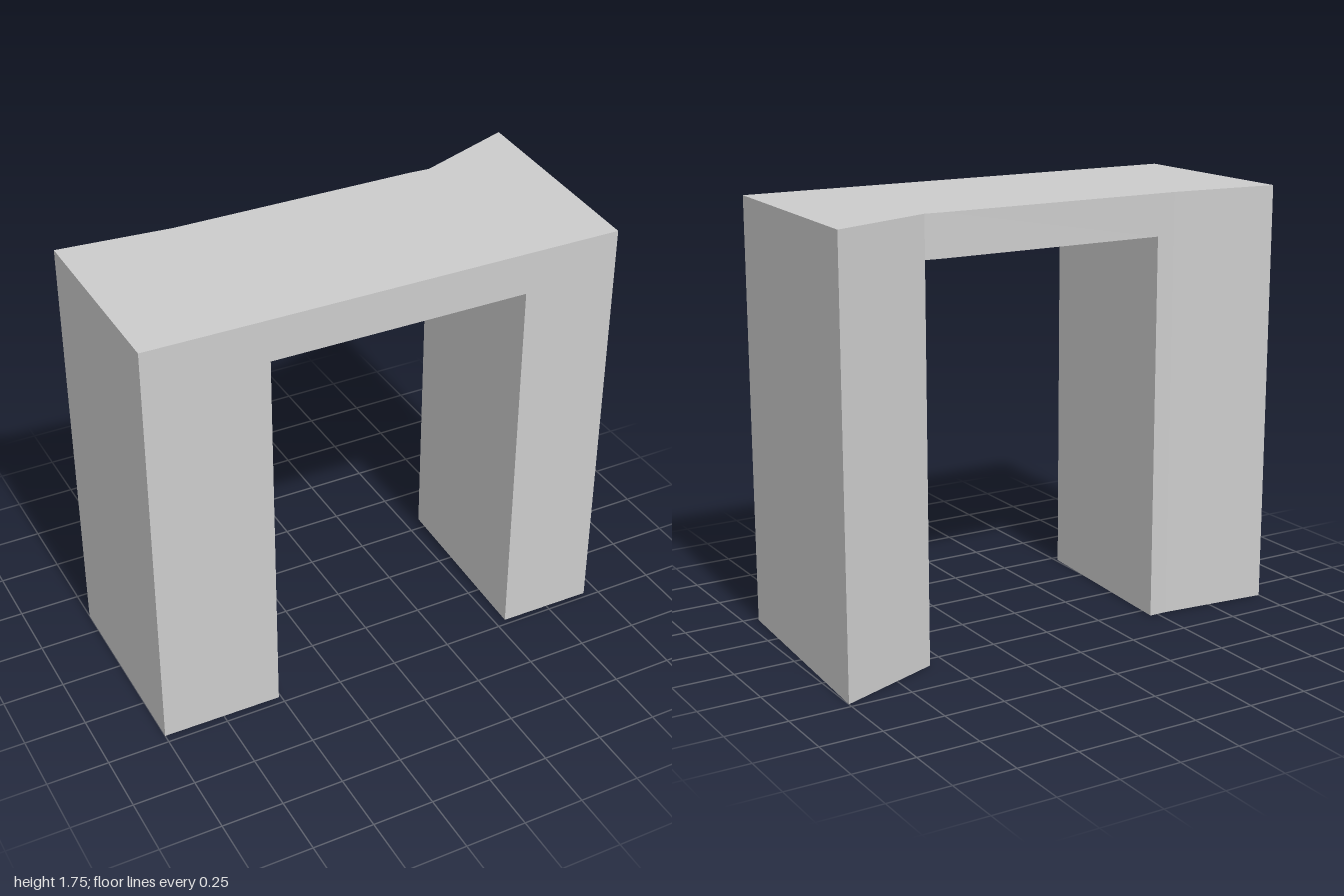
import * as THREE from 'three';

const HEIGHT = 1.75;
const OPENING = 1.58;

// Extrude a ground plan, given as [x, z] corners, from y0 up to y1.
function prism(name, plan, y0, y1, material) {
  const shape = new THREE.Shape(plan.map(([x, z]) => new THREE.Vector2(x, -z)));
  const geometry = new THREE.ExtrudeGeometry(shape, { depth: y1 - y0, bevelEnabled: false });
  geometry.rotateX(-Math.PI / 2);
  geometry.translate(0, y0, 0);
  const mesh = new THREE.Mesh(geometry, material);
  mesh.name = name;
  return mesh;
}

export function createModel() {
  const group = new THREE.Group();
  group.name = 'archway';
  const material = new THREE.MeshStandardMaterial({ color: 0xcccccc, flatShading: true });

  // Corners of the opening, shared by the legs and the lintel
  const rightFront = [-0.51, 0.468], rightBack = [-0.465, -0.315];
  const leftFront = [0.545, 0.475], leftBack = [0.57, -0.31];

  // Legs run the full height
  group.add(prism('rightLeg',
    [[-1, 0.464], rightFront, rightBack, [-0.54, -0.315], [-1, -0.356]], 0, HEIGHT, material));
  group.add(prism('leftLeg',
    [leftFront, [0.94, 0.478], [1, -0.478], leftBack], 0, HEIGHT, material));

  // Lintel fills the gap between the legs above the opening
  group.add(prism('lintel',
    [rightFront, leftFront, leftBack, [0.49, -0.315], rightBack], OPENING, HEIGHT, material));

  return group;
}
